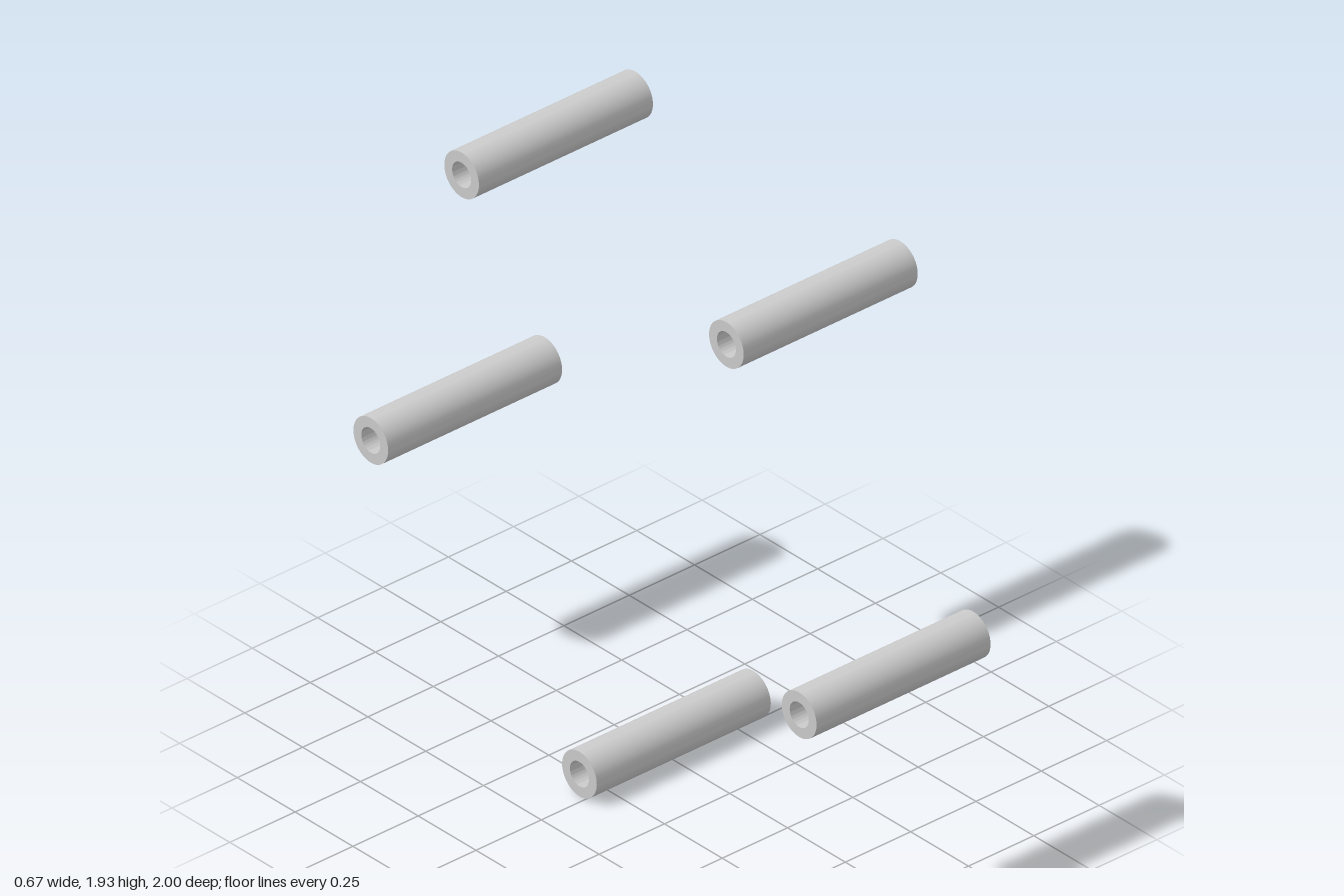
import * as THREE from 'three';
import { toCreasedNormals } from 'three/addons/utils/BufferGeometryUtils.js';

const COUNT = 5;
const RING_RADIUS = 0.975;
const RING_Y = 1.05;
const RING_Z = 0.011;
const START_ANGLE = THREE.MathUtils.degToRad(-92.05);

// Hollow tube lying along x: closed rectangular profile spun around the axis
function tubeGeometry(outer, inner, halfLength) {
  const profile = [
    [inner, -halfLength],
    [outer, -halfLength],
    [outer, halfLength],
    [inner, halfLength],
    [inner, -halfLength],
  ].map(([r, h]) => new THREE.Vector2(r, h));
  const geometry = new THREE.LatheGeometry(profile, 64);
  geometry.rotateZ(Math.PI / 2);
  return toCreasedNormals(geometry, Math.PI / 4);
}

export function createModel() {
  const model = new THREE.Group();
  model.name = 'tubeRing';
  const material = new THREE.MeshStandardMaterial({ color: 0xcccccc });
  const geometry = tubeGeometry(0.075, 0.041, 0.333);

  // Five parallel tubes evenly spaced around a circle in the yz plane
  for (let i = 0; i < COUNT; i++) {
    const angle = START_ANGLE + (i * 2 * Math.PI) / COUNT;
    const tube = new THREE.Mesh(geometry, material);
    tube.name = `tube${i + 1}`;
    tube.position.set(
      0,
      RING_Y + RING_RADIUS * Math.sin(angle),
      RING_Z + RING_RADIUS * Math.cos(angle),
    );
    model.add(tube);
  }
  return model;
}
